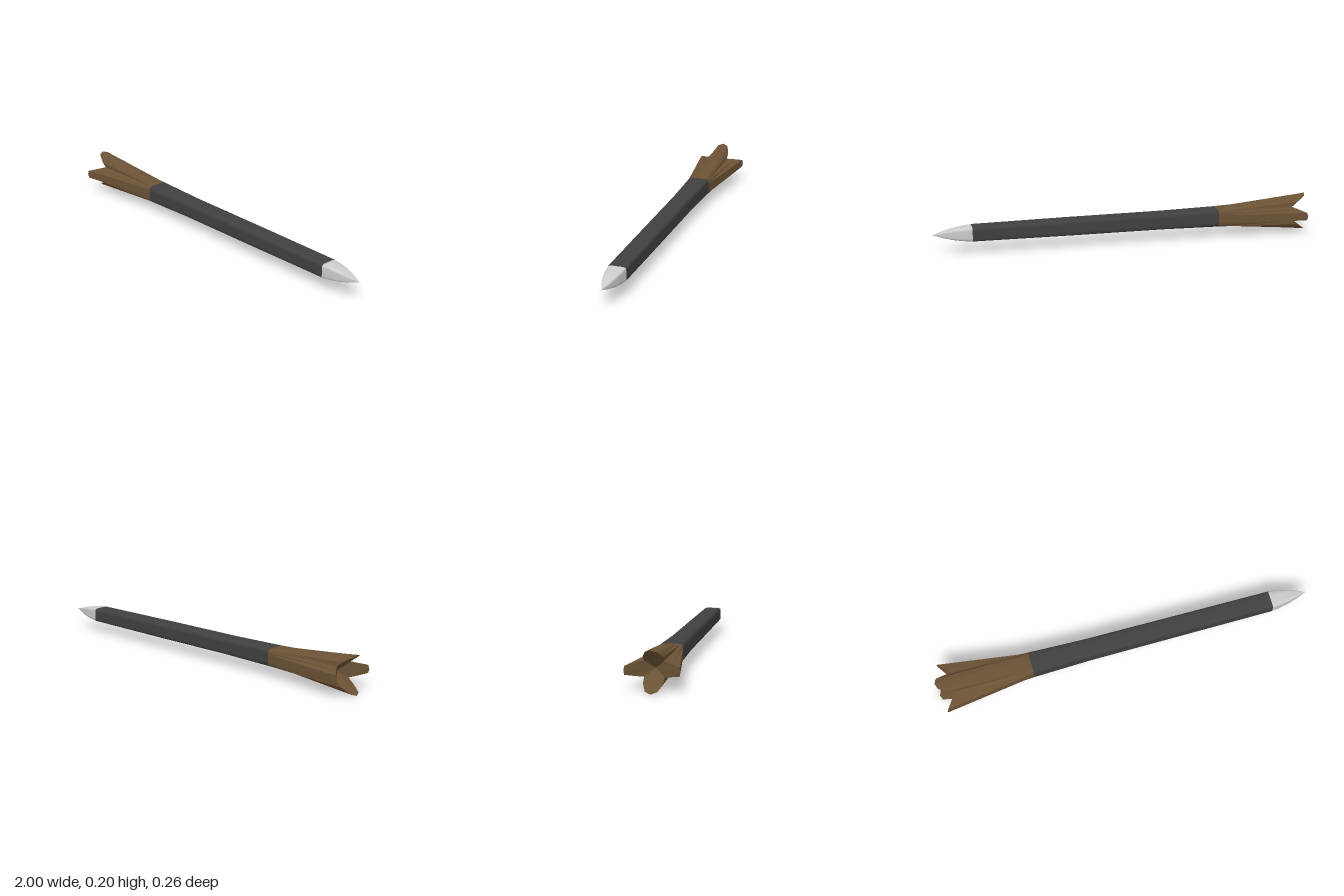
import * as THREE from 'three';
import { toCreasedNormals } from 'three/addons/utils/BufferGeometryUtils.js';

const AXIS_Y = 0.102;

// Quarter sections as [z, y, x offset], from the +z axis round to the +y axis
const SQUARE = [[0.058, 0], [0.058, 0.02], [0.058, 0.033], [0.054, 0.04], [0.046, 0.044], [0.025, 0.045], [0, 0.045]];
const CROSS = [[0.128, 0, 0.025], [0.126, 0.02, 0.03], [0.085, 0.03, 0.06], [0.046, 0.037, 0.085],
  [0.046, 0.062, 0.055], [0.028, 0.09, 0.01], [0, 0.1, 0]];

// Mirrors a quarter section into a closed ring of points
function ring(quarter, x, sz = 1, sy = 1) {
  const there = quarter.slice(0, -1), back = quarter.slice(1).reverse();
  const parts = [[there, 1, 1], [back, -1, 1], [there, -1, -1], [back, 1, -1]];
  return parts.flatMap(([pts, mz, my]) => pts.map(([z, y, dx = 0]) =>
    new THREE.Vector3(x + dx, AXIS_Y + y * sy * my, z * sz * mz)));
}

// Skins a list of rings running towards +x; capCentre closes the first ring
function loft(name, color, rings, capCentre) {
  const tris = [];
  const n = rings[0].length;
  for (let j = 0; j < n; j++) {
    const k = (j + 1) % n;
    for (let i = 0; i < rings.length - 1; i++) {
      const [a, b, c, d] = [rings[i][j], rings[i][k], rings[i + 1][k], rings[i + 1][j]];
      tris.push(a, d, c, a, c, b);
    }
    if (capCentre) tris.push(capCentre, rings[0][j], rings[0][k]);
  }
  const geometry = toCreasedNormals(new THREE.BufferGeometry().setFromPoints(tris), 0.6);
  const mesh = new THREE.Mesh(geometry, new THREE.MeshStandardMaterial({ color }));
  mesh.name = name;
  return mesh;
}

export function createModel() {
  const group = new THREE.Group();
  group.name = 'bolt';

  // Four flared vanes with a hollowed tail end
  group.add(loft('fletching', 0x6b5235,
    [ring(CROSS, -1), ring(SQUARE, -0.5)],
    new THREE.Vector3(-0.88, AXIS_Y, 0)));

  // Rounded square shaft, slightly thicker at the tail
  group.add(loft('shaft', 0x404040, [
    ring(SQUARE, -0.5), ring(SQUARE, -0.2, 0.86, 0.92),
    ring(SQUARE, 0.3, 0.82, 0.9), ring(SQUARE, 0.8, 0.8, 0.82)]));

  // Curved four-sided point
  const profile = [[0.8, 1], [0.85, 0.88], [0.9, 0.68], [0.95, 0.38], [1, 0.001]];
  group.add(loft('tip', 0xcccccc,
    profile.map(([x, s]) => ring(SQUARE, x, 0.8 * s, 0.82 * s))));

  return group;
}
